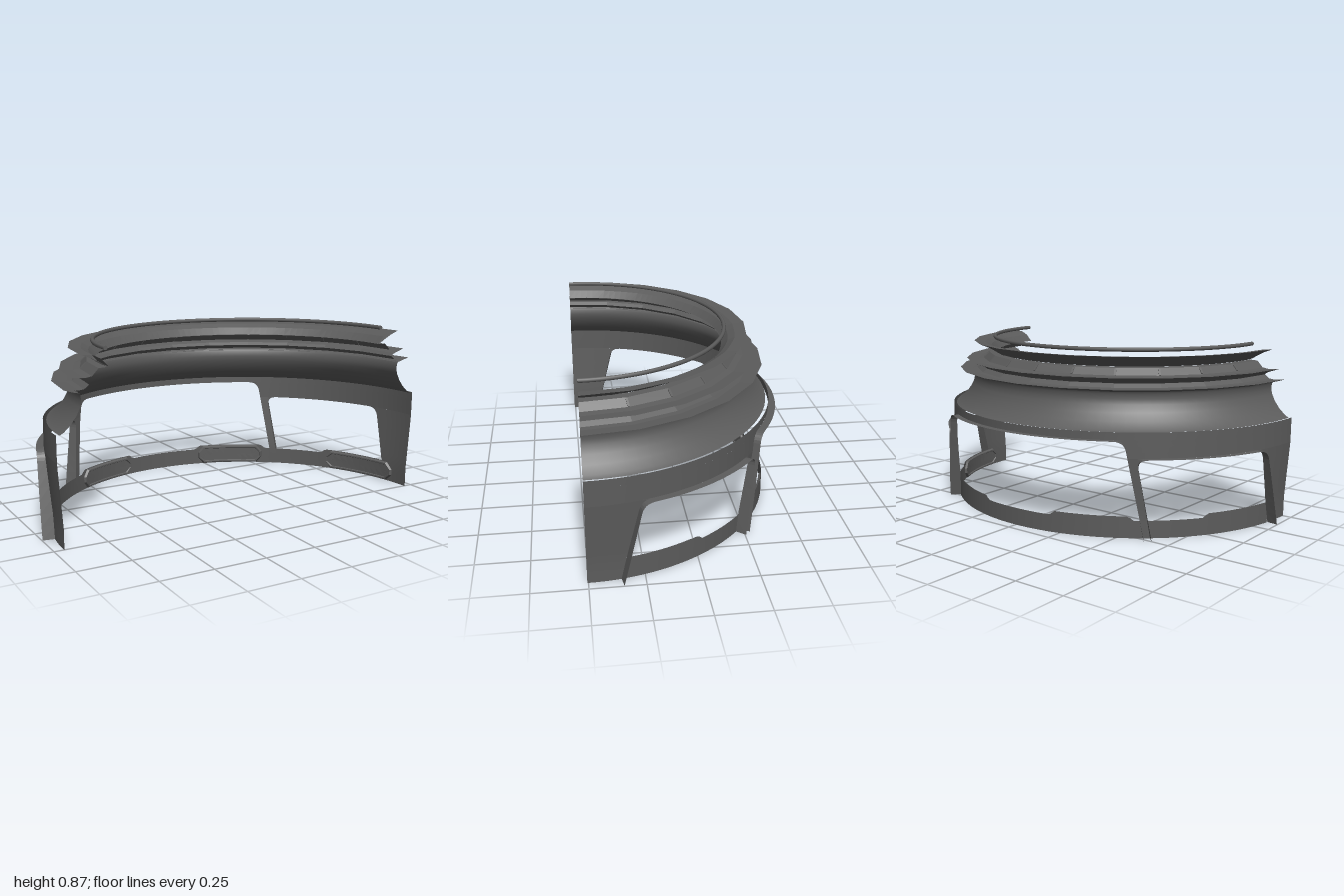
import * as THREE from 'three';

const CZ = 0.505;          // common axis of all the arcs
const RIM = 1.01;          // outer radius of the window reveals
const mat = new THREE.MeshStandardMaterial({ color: 0x5c5c5c, side: THREE.DoubleSide });
const flat = new THREE.MeshStandardMaterial({ color: 0x5c5c5c, side: THREE.DoubleSide, flatShading: true });

// angle in degrees measured from the back (-z) towards +x
function polar(deg, y, r) {
  const a = THREE.MathUtils.degToRad(deg);
  return new THREE.Vector3(r * Math.sin(a), y, -r * Math.cos(a));
}

// grid surface from f(u, v)
function sheet(name, f, nu, nv, material = mat) {
  const pos = [], idx = [];
  for (let j = 0; j <= nv; j++)
    for (let i = 0; i <= nu; i++) pos.push(...f(i / nu, j / nv).toArray());
  for (let j = 0; j < nv; j++)
    for (let i = 0; i < nu; i++) {
      const a = j * (nu + 1) + i, b = a + nu + 1;
      idx.push(a, b, a + 1, a + 1, b, b + 1);
    }
  const g = new THREE.BufferGeometry();
  g.setAttribute('position', new THREE.Float32BufferAttribute(pos, 3));
  g.setIndex(idx);
  g.computeVertexNormals();
  const m = new THREE.Mesh(g, material);
  m.name = name;
  return m;
}

// half ring swept from a profile of [radius, y]
function halfRing(name, profile, segments, material) {
  const pts = profile.map(([r, y]) => new THREE.Vector2(r, y));
  const m = new THREE.Mesh(new THREE.LatheGeometry(pts, segments, Math.PI / 2, Math.PI), material);
  m.name = name;
  return m;
}

const lerp = THREE.MathUtils.lerp;
const HEAD = 0.385, MIDHEAD = 0.47, TOP = 0.507, LOW = 0.085, HIGH = 0.105;
const wallR = y => lerp(0.955, 0.975, THREE.MathUtils.clamp((y - 0.1) / 0.28, 0, 1));
// slanted window edges as angles: pillar back edge, pillar front edge, side wall edge
const edgeA = y => 39.2 - 11.7 * y;
const edgeB = y => 41.2 - 10.8 * y;
const edgeW = y => 81 - 14 * y;

// stepped top of the bottom rail
function sill(deg) {
  const t = Math.abs(deg);
  const k = Math.max(
    Math.min((t - 12) / 1.5, (36.5 - t) / 1.5),
    (t - 56.5) / 1.5);
  return lerp(LOW, HIGH, THREE.MathUtils.clamp(k, 0, 1));
}

// wall area between two slanted edges
const panel = (name, y0, y1, e0, e1, s, nu, nv) => sheet(name, (u, v) => {
  const y = lerp(y0, y1, v);
  return polar(s * lerp(e0(y), e1(y), u), y, wallR(y));
}, nu, nv);

// rounded window corner: curve points from p to q around corner c
function cornerCurve(c, p, q) {
  const V = a => new THREE.Vector2(...a);
  return new THREE.QuadraticBezierCurve(V(p), V(c), V(q)).getPoints(6);
}

// jamb and head reveals of an opening plus the filled rounded head corners
function windowFrame(name, left, right, head) {
  const g = new THREE.Group();
  g.name = name;
  const d = 0.045, w = 3;
  const cl = [left(head), head], cr = [right(head), head];
  const cornerL = cornerCurve(cl, [left(head - d), head - d], [cl[0] + w, head]);
  const cornerR = cornerCurve(cr, [cr[0] - w, head], [right(head - d), head - d]);
  const path = [];
  for (let i = 0; i < 6; i++) path.push(new THREE.Vector2(left((head - d) * i / 6), (head - d) * i / 6));
  path.push(...cornerL);
  for (let i = 1; i < 24; i++) path.push(new THREE.Vector2(lerp(cl[0] + w, cr[0] - w, i / 24), head));
  path.push(...cornerR);
  for (let i = 5; i >= 0; i--) path.push(new THREE.Vector2(right((head - d) * i / 6), (head - d) * i / 6));
  g.add(sheet('windowReveal', (u, v) => {
    const p = path[Math.round(u * (path.length - 1))];
    return polar(p.x, p.y, lerp(wallR(p.y), RIM, v));
  }, path.length - 1, 1, flat));
  for (const [c, curve] of [[cl, cornerL], [cr, cornerR]])
    g.add(sheet('windowCorner', (u, v) => {
      const p = curve[Math.round(u * 6)];
      const y = lerp(c[1], p.y, v);
      return polar(lerp(c[0], p.x, v), y, wallR(y));
    }, 6, 1));
  return g;
}

// raised inner plate with chamfered ends on the bottom rail
function railPlate(a, b) {
  const rows = [[0, 0.953], [0.12, 0.942], [0.26, 0.942], [0.32, 0.947], [1, 0.947]];
  const mid = (a + b) / 2, half = (b - a) / 2;
  const outline = [];
  const corner = [[-1, 0.35], [-0.84, 0], [0.84, 0], [1, 0.35], [1, 0.65], [0.84, 1], [-0.84, 1], [-1, 0.65], [-1, 0.35]];
  for (let k = 0; k < 8; k++)
    for (let i = 0; i < 8; i++)
      outline.push([0, 1].map(c => lerp(corner[k][c], corner[k + 1][c], i / 8)));
  outline.push(corner[0]);
  return sheet('railPlate', (u, v) => {
    const [x, y] = outline[Math.round(u * 64)];
    const [inset, r] = rows[Math.round(v * 4)];
    // the inset shrinks the height fully and the length only slightly
    return polar(mid + half * x * (1 - inset * 0.2), 0.052 + (y - 0.5) * 0.1 * (1 - inset), r);
  }, 64, 4, flat);
}

export function createModel() {
  const model = new THREE.Group();
  model.name = 'curvedGallery';
  const body = new THREE.Group();
  body.name = 'body';
  body.position.z = CZ;
  model.add(body);

  // wall band and stepped bottom rail
  body.add(panel('upperBand', MIDHEAD, TOP, () => -90, () => 90, 1, 72, 1));
  body.add(sheet('bottomRail', (u, v) => {
    const t = lerp(-80.5, 80.5, u);
    return polar(t, sill(t) * v, 0.955);
  }, 161, 1));

  // side walls, pillars and window openings
  for (const s of [-1, 1]) {
    body.add(panel('sideBand', HEAD, MIDHEAD, edgeA, () => 90, s, 30, 3));
    body.add(panel('pillar', 0, HEAD, edgeA, edgeB, s, 2, 8));
    body.add(panel('sideWall', 0, HEAD, edgeW, () => 90, s, 6, 8));
    for (const [a, b] of [[13, 35.5], [58, 84]])
      body.add(s > 0 ? railPlate(a, b) : railPlate(-b, -a));
  }
  body.add(windowFrame('middleWindow', y => -edgeA(y), edgeA, MIDHEAD));
  body.add(windowFrame('leftWindow', edgeB, edgeW, HEAD));
  body.add(windowFrame('rightWindow', y => -edgeW(y), y => -edgeB(y), HEAD));

  // concave skirt above the wall
  body.add(halfRing('skirt', [[0.96, 0.504], [0.94, 0.515], [0.908, 0.545], [0.882, 0.58],
    [0.865, 0.615], [0.86, 0.64], [0.862, 0.665], [0.87, 0.678]], 48, mat));

  // faceted tiers with thin projecting lips
  body.add(halfRing('lowerTier', [[0.865, 0.674], [0.89, 0.679], [0.935, 0.693], [0.87, 0.687],
    [0.845, 0.69], [0.822, 0.708], [0.838, 0.722]], 12, flat));
  body.add(halfRing('upperTier', [[0.838, 0.72], [0.86, 0.728], [0.9, 0.742], [0.84, 0.737],
    [0.808, 0.742], [0.778, 0.774], [0.74, 0.776]], 12, flat));

  // ribs at the facet joints
  const ribGeo = new THREE.BoxGeometry(0.01, 0.036, 0.006);
  for (let t = -75; t <= 75; t += 15) {
    const rib = new THREE.Mesh(ribGeo, mat);
    rib.name = 'tierRib';
    rib.position.copy(polar(t, 0.757, 0.794));
    rib.rotation.set(0.75, -THREE.MathUtils.degToRad(t), 0, 'YXZ');
    body.add(rib);
  }

  // flared crown: round inner edge, twelve-sided outer edge
  const crown = [[0.732, 0.776], [0.748, 0.782], [0.775, 0.798], [0.81, 0.817],
    [0.858, 0.836], [0.8, 0.83], [0.765, 0.812], [0.732, 0.778]];
  body.add(sheet('crown', (u, v) => {
    const t = lerp(-90, 90, u);
    const [r, y] = crown[Math.round(v * 7)];
    const off = THREE.MathUtils.degToRad((t + 90) % 15 - 7.5);
    const facet = Math.cos(Math.PI / 24) / Math.cos(off);
    return polar(t, y, r * lerp(1, facet, (r - 0.732) / 0.126));
  }, 72, 7, flat));

  // floating rail on top
  const rail = new THREE.Mesh(new THREE.TorusGeometry(0.745, 0.01, 8, 64, Math.PI), mat);
  rail.name = 'topRail';
  rail.rotation.x = -Math.PI / 2;
  rail.position.y = 0.857;
  body.add(rail);
  for (const s of [-1, 1]) {
    const cap = new THREE.Mesh(new THREE.CircleGeometry(0.01, 8), mat);
    cap.name = 'topRailEnd';
    cap.position.set(s * 0.745, 0.857, 0);
    body.add(cap);
  }
  return model;
}
